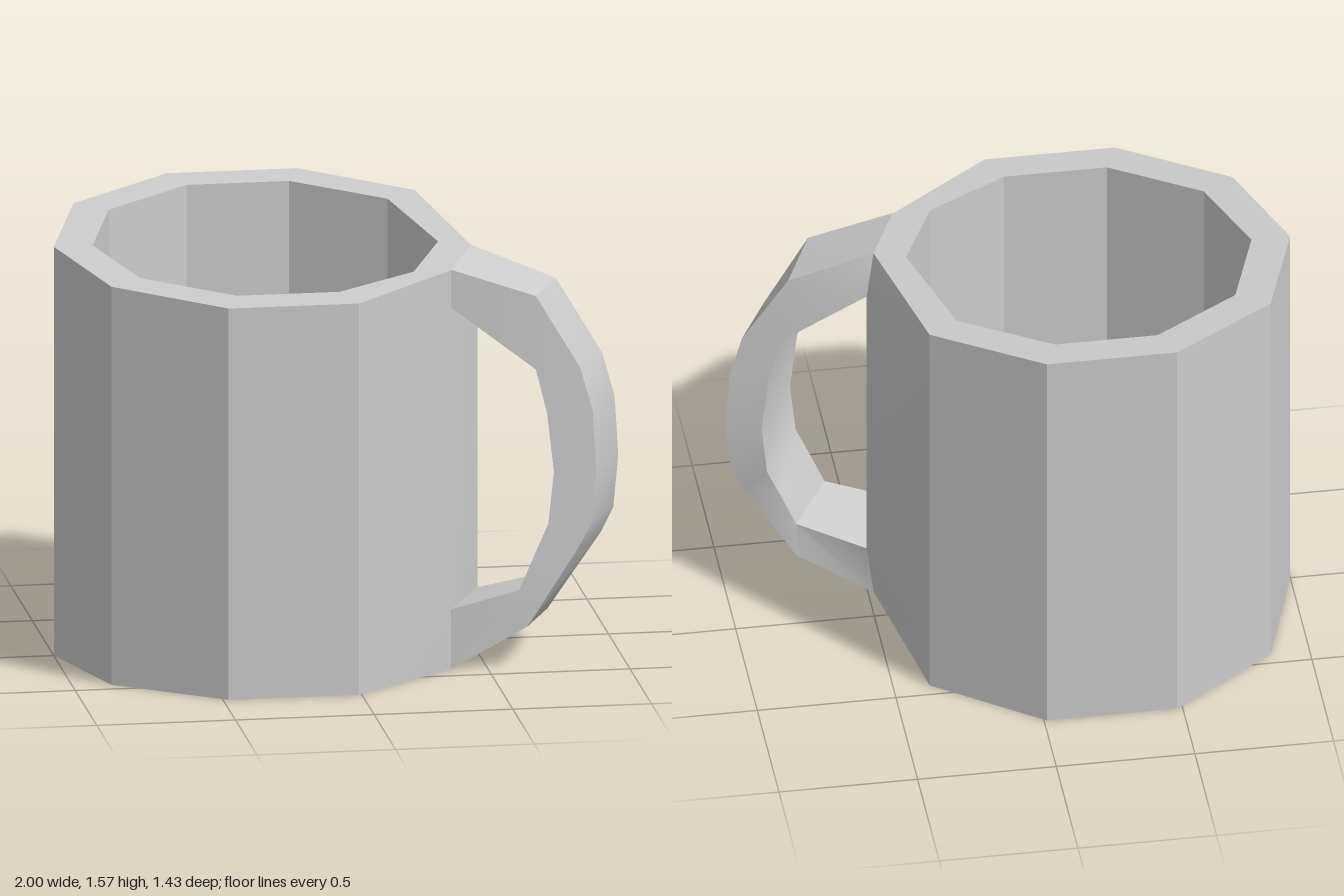
import * as THREE from 'three';
import { toCreasedNormals } from 'three/addons/utils/BufferGeometryUtils.js';

const material = new THREE.MeshStandardMaterial({ color: 0xcccccc });

// Skins a list of closed rings of [x, y, z]; optional fans close both ends.
function loft(rings, capped) {
  const pos = [];
  const same = (p, q) => p.every((v, k) => Math.abs(v - q[k]) < 1e-6);
  const tri = (a, b, c) => {
    if (!same(a, b) && !same(b, c) && !same(a, c)) pos.push(...a, ...b, ...c);
  };
  const n = rings[0].length;
  for (let i = 0; i < rings.length - 1; i++) {
    for (let j = 0; j < n; j++) {
      const k = (j + 1) % n;
      const a = rings[i][j], b = rings[i][k], c = rings[i + 1][k], d = rings[i + 1][j];
      tri(a, b, c);
      tri(a, c, d);
    }
  }
  if (capped) {
    const first = rings[0], last = rings[rings.length - 1];
    for (let j = 1; j < n - 1; j++) {
      tri(first[0], first[j + 1], first[j]);
      tri(last[0], last[j], last[j + 1]);
    }
  }
  const geometry = new THREE.BufferGeometry();
  geometry.setAttribute('position', new THREE.Float32BufferAttribute(pos, 3));
  return toCreasedNormals(geometry, 0.5);
}

function addMesh(group, name, geometry) {
  const mesh = new THREE.Mesh(geometry, material);
  mesh.name = name;
  group.add(mesh);
}

// Ten-sided outlines [x, z]; the corner beside the handle is pulled forward.
const outline = (corner) => [
  [-0.48, 0.715], [-0.01, 0.715], [0.37, 0.405], corner, [0.37, -0.445],
  [-0.01, -0.72], [-0.48, -0.72], [-0.86, -0.445], [-1, 0], [-0.86, 0.44],
];
const inner = [
  [-0.43, 0.585], [-0.06, 0.585], [0.235, 0.405], [0.37, 0.1], [0.26, -0.365],
  [-0.06, -0.59], [-0.43, -0.59], [-0.745, -0.365], [-0.86, 0], [-0.745, 0.36],
];
const rimHeight = (z) => 1.505 - 0.0903 * z; // the rim slopes down to the front
const level = (points, y) => points.map(([x, z]) => [x, y, z]);
const rim = (points) => points.map(([x, z]) => [x, rimHeight(z), z]);

export function createModel() {
  const group = new THREE.Group();
  group.name = 'mug';

  // Cup: outer wall, rim, inner wall and floor
  const end = outline([0.48, 0.145]), middle = outline([0.51, 0.11]);
  addMesh(group, 'cup', loft([
    level(end, 0), level(middle, 0.22), level(middle, 1.33),
    rim(end), rim(inner), level(inner, 0.13),
  ], true));

  // Handle stations: outer x, y, back z; inner x, y, back z; front z
  const stations = [
    [0.37, 1.47, 0.145, 0.37, 1.33, 0.11, 0.405],
    [0.67, 1.37, 0.195, 0.67, 1.10, 0.20, 0.44],
    [0.83, 1.10, 0.24, 0.67, 1.10, 0.20, 0.44],
    [0.875, 0.94, 0.24, 0.71, 0.94, 0.20, 0.44],
    [0.888, 0.72, 0.24, 0.735, 0.72, 0.20, 0.44],
    [0.87, 0.53, 0.24, 0.715, 0.53, 0.20, 0.44],
    [0.825, 0.44, 0.24, 0.675, 0.44, 0.20, 0.44],
    [0.64, 0.155, 0.195, 0.61, 0.29, 0.20, 0.44],
    [0.37, 0, 0.145, 0.37, 0.22, 0.11, 0.405],
  ];
  // The back edges sit further out than the front ones
  addMesh(group, 'handle', loft(stations.map(([ox, oy, oz, ix, iy, iz, front], i) => [
    [ox + 0.11, i === 0 ? rimHeight(oz) : oy, oz],
    [ox, oy, front],
    [ix, iy, front],
    [ix + 0.14, iy, iz],
  ]), false));

  return group;
}
